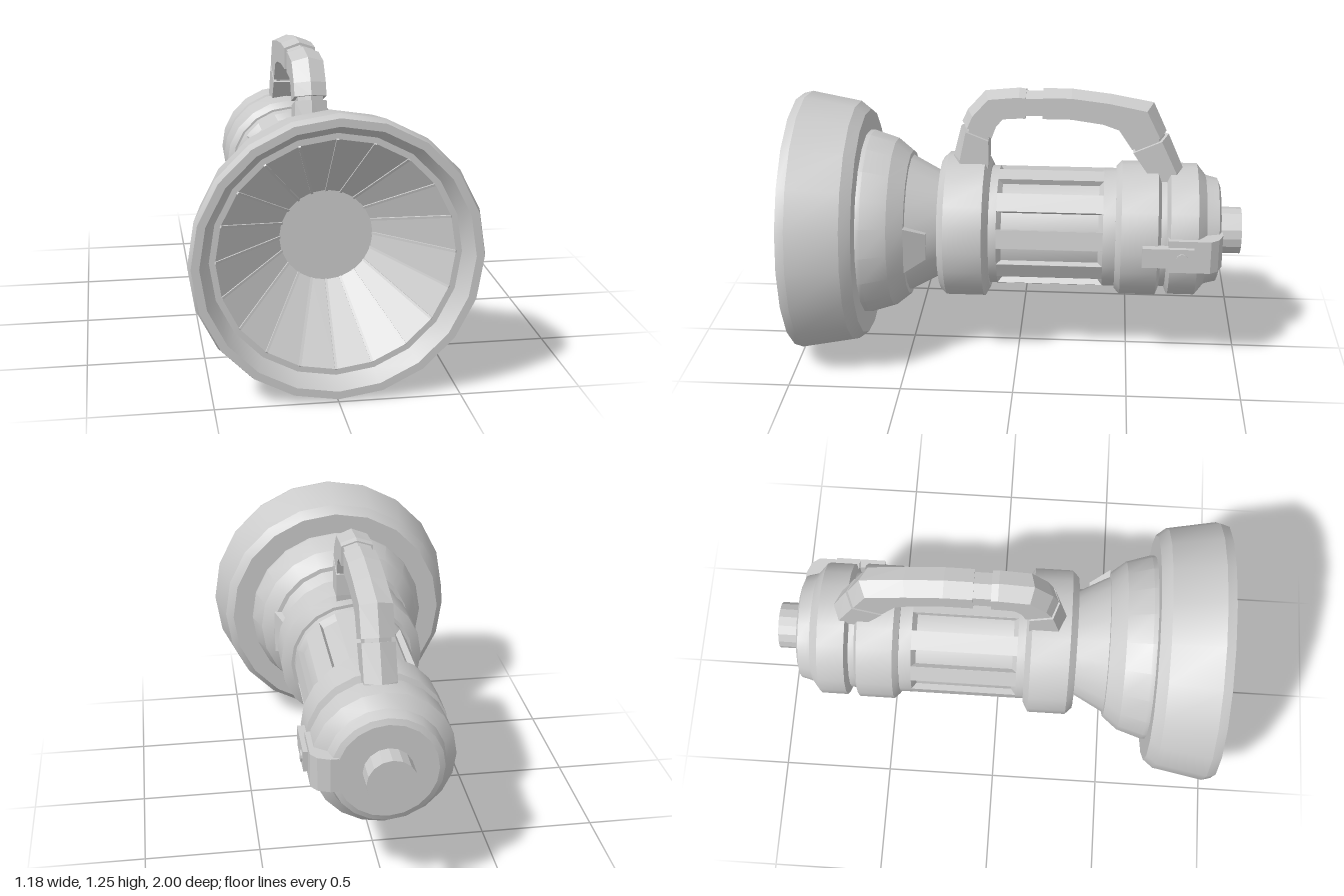
import * as THREE from 'three';
import { toCreasedNormals } from 'three/addons/utils/BufferGeometryUtils.js';

const AXIS = 0.593, SIDES = 20, STEP = (Math.PI * 2) / SIDES;
const smoothMat = new THREE.MeshStandardMaterial({ color: 0xcccccc });
const flatMat = new THREE.MeshStandardMaterial({ color: 0xcccccc, flatShading: true });

function add(parent, name, geometry, material = flatMat) {
  const mesh = new THREE.Mesh(geometry, material);
  mesh.name = name;
  parent.add(mesh);
  return mesh;
}

// Turned part around the z axis; profile is [z, radius] from tail to front
function turned(profile, sides = SIDES) {
  const pts = profile.map(([z, r]) => new THREE.Vector2(r, z));
  return new THREE.LatheGeometry(pts, sides).rotateX(Math.PI / 2);
}
const creased = (profile, sides) => toCreasedNormals(turned(profile, sides), 0.36);

// Outline in x/z, extruded vertically and centred on the axis
function plate(points, height) {
  const shape = new THREE.Shape(points.map(([x, z]) => new THREE.Vector2(x, z)));
  return new THREE.ExtrudeGeometry(shape, { depth: height, bevelEnabled: false })
    .translate(0, 0, -height / 2).rotateX(Math.PI / 2);
}

// Ridged bar lofted through sections [outer z, outer y, inner z, inner y]
function ridgedBar(sections, halfWidth) {
  const rings = sections.map(([oz, oy, iz, iy]) => {
    const o = new THREE.Vector3(0, oy, oz), i = new THREE.Vector3(0, iy, iz);
    const shoulder = o.clone().lerp(i, 0.2);
    const at = (p, x) => p.clone().setX(x);
    return [o, at(shoulder, halfWidth), at(i, halfWidth), at(i, -halfWidth), at(shoulder, -halfWidth)];
  });
  const tri = [];
  for (let s = 0; s < rings.length - 1; s++) {
    const a = rings[s], b = rings[s + 1];
    for (let k = 0; k < 5; k++) {
      const n = (k + 1) % 5;
      tri.push(a[k], a[n], b[k], a[n], b[n], b[k]);
    }
  }
  const first = rings[0], last = rings[rings.length - 1];
  for (let k = 1; k < 4; k++) {
    tri.push(first[0], first[k + 1], first[k]);
    tri.push(last[0], last[k], last[k + 1]);
  }
  const g = new THREE.BufferGeometry().setFromPoints(tri);
  g.computeVertexNormals();
  return g;
}

export function createModel() {
  const model = new THREE.Group();
  model.name = 'flashlight';
  const torch = new THREE.Group();
  torch.name = 'barrelAssembly';
  torch.position.y = AXIS;
  model.add(torch);

  // Tail knob and rear cap with its two bands
  add(torch, 'tailKnob', creased([[-1, 0], [-1, 0.105], [-0.88, 0.105]], 16), smoothMat);
  add(torch, 'rearCap', creased([
    [-0.9, 0], [-0.9, 0.21], [-0.89, 0.235], [-0.85, 0.245], [-0.835, 0.25], [-0.795, 0.3],
    [-0.675, 0.3], [-0.66, 0.265], [-0.635, 0.265], [-0.62, 0.305], [-0.46, 0.305], [-0.435, 0.28], [-0.435, 0.2],
  ]), smoothMat);

  // Grip: recessed core with end rings, and raised staves on every other face
  add(torch, 'gripCore', creased([
    [-0.45, 0.27], [-0.38, 0.27], [-0.36, 0.242], [0.07, 0.242], [0.09, 0.27], [0.15, 0.27],
  ]), smoothMat);
  const staves = new THREE.Group();
  staves.name = 'gripStaves';
  torch.add(staves);
  const corner = (r, a) => new THREE.Vector2(r * Math.cos(a), r * Math.sin(a));
  const staveShape = new THREE.Shape([
    corner(0.2, -0.005), corner(0.27, -0.005), corner(0.27, 0), corner(0.27, STEP),
    corner(0.27, STEP + 0.005), corner(0.2, STEP + 0.005),
  ]);
  const staveGeo = new THREE.ExtrudeGeometry(staveShape, { depth: 0.47, bevelEnabled: false }).translate(0, 0, -0.38);
  for (let k = 0; k < SIDES / 2; k++) add(staves, 'gripStave', staveGeo).rotation.z = k * 2 * STEP;

  // Front collar
  add(torch, 'frontCollar', creased([
    [0.125, 0.2], [0.125, 0.285], [0.15, 0.33], [0.32, 0.33], [0.35, 0.3], [0.35, 0.2],
  ]), smoothMat);

  // Flared head, rim and stepped inner lip
  add(torch, 'head', creased([
    [0.34, 0.23], [0.49, 0.31], [0.492, 0.33], [0.56, 0.385], [0.67, 0.42], [0.69, 0.42],
    [0.69, 0.515], [0.735, 0.55], [0.96, 0.591], [1, 0.58], [1, 0.547], [0.93, 0.505], [0.93, 0.48],
  ]), smoothMat);

  // Faceted reflector with ribs along its corners, and the lamp disc
  const inner = [0.66, 0.195], outer = [0.93, 0.482];
  add(torch, 'reflector', turned([outer, inner]));
  add(torch, 'lampDisc', turned([inner, [0.66, 0]]));
  const dz = outer[0] - inner[0], dr = outer[1] - inner[1];
  const ribGeo = new THREE.BoxGeometry(0.01, Math.hypot(dz, dr), 0.014)
    .rotateX(Math.atan2(dz, dr))
    .translate(0, (outer[1] + inner[1]) / 2, (outer[0] + inner[0]) / 2);
  const ribs = new THREE.Group();
  ribs.name = 'reflectorRibs';
  torch.add(ribs);
  for (let k = 0; k < SIDES; k++) add(ribs, 'reflectorRib', ribGeo).rotation.z = k * STEP;

  // Tapered tongue on the left flank of the head
  const tongue = plate([[0.2, 0.4], [0.275, 0.4], [0.327, 0.493], [0.2, 0.493]], 1);
  const p = tongue.attributes.position;
  for (let i = 0; i < p.count; i++) {
    p.setY(i, p.getY(i) * (p.getZ(i) > 0.45 ? 0.21 : 0.12));
  }
  tongue.computeVertexNormals();
  add(torch, 'headTongue', tongue);

  // Switch housing, its lever and pin on the left side
  add(torch, 'switchHousing', plate([
    [0.2, -0.905], [0.235, -0.905], [0.285, -0.885], [0.31, -0.85], [0.31, -0.665], [0.2, -0.665],
  ], 0.15));
  add(torch, 'switchLever', new THREE.BoxGeometry(0.04, 0.09, 0.225)).position.set(0.31, 0, -0.665);
  const pin = add(torch, 'switchPin', new THREE.CylinderGeometry(0.025, 0.025, 0.03, 12));
  pin.rotation.z = Math.PI / 2;
  pin.position.set(0.322, 0, -0.725);

  // Carry handle in segments, separated by narrower joints
  const handle = new THREE.Group();
  handle.name = 'carryHandle';
  model.add(handle);
  add(handle, 'handleFrontPost', ridgedBar([
    [0.3, 0.86, 0.14, 0.86], [0.295, 0.93, 0.135, 0.92], [0.26, 1.07, 0.135, 1.02],
  ], 0.07));
  add(handle, 'handleFrontJoint', ridgedBar([[0.25, 1.05, 0.14, 1.0], [0.235, 1.1, 0.13, 1.06]], 0.055));
  add(handle, 'handleFrontBend', ridgedBar([
    [0.255, 1.09, 0.12, 1.035], [0.23, 1.145, 0.1, 1.09], [0.15, 1.235, 0.07, 1.125], [0, 1.25, 0, 1.13],
    [-0.03, 1.245, -0.03, 1.13],
  ], 0.07));
  add(handle, 'handleTopJoint', ridgedBar([[-0.02, 1.238, -0.02, 1.14], [-0.12, 1.238, -0.12, 1.14]], 0.06));
  add(handle, 'handleRearBend', ridgedBar([
    [-0.105, 1.25, -0.105, 1.13], [-0.23, 1.25, -0.23, 1.13], [-0.4, 1.23, -0.37, 1.11],
    [-0.59, 1.195, -0.44, 1.085], [-0.65, 1.065, -0.5, 0.995],
  ], 0.07));
  add(handle, 'handleRearJoint', ridgedBar([[-0.63, 1.08, -0.505, 1.01], [-0.645, 1.04, -0.52, 0.97]], 0.055));
  add(handle, 'handleRearPost', ridgedBar([
    [-0.66, 1.05, -0.505, 0.98], [-0.73, 0.89, -0.57, 0.885], [-0.74, 0.84, -0.59, 0.84],
  ], 0.07));

  return model;
}
